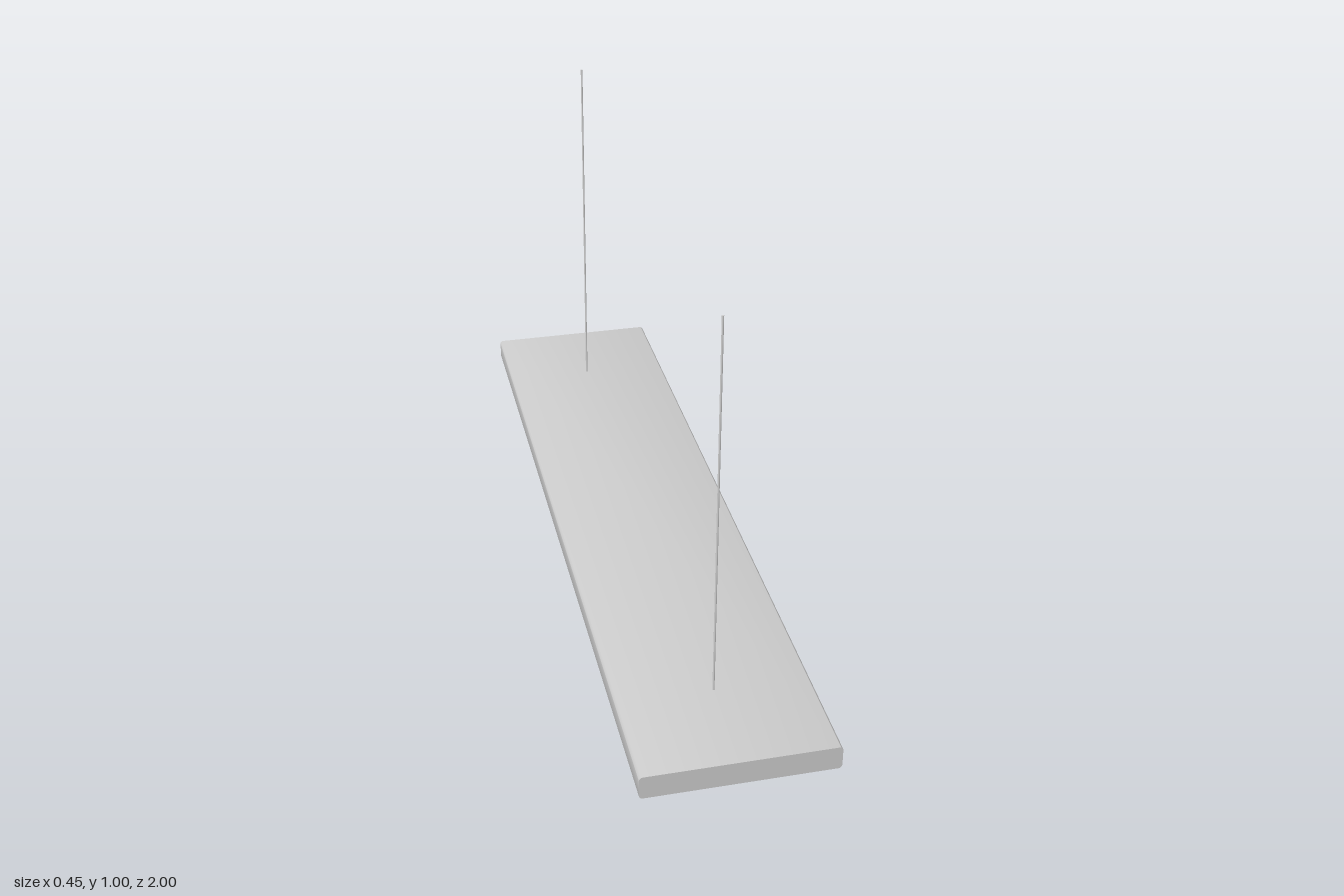
import * as THREE from 'three';
import { toCreasedNormals } from 'three/addons/utils/BufferGeometryUtils.js';

const WIDTH = 0.45, THICK = 0.058, LENGTH = 2, CORNER = 0.009;
const CABLE_Z = 0.755, CABLE_RADIUS = 0.0025, TOP = 1;

// Rectangle with rounded corners, standing on y = 0
function roundedRect(w, h, r) {
  const s = new THREE.Shape();
  s.absarc(w / 2 - r, r, r, -Math.PI / 2, 0);
  s.absarc(w / 2 - r, h - r, r, 0, Math.PI / 2);
  s.absarc(-w / 2 + r, h - r, r, Math.PI / 2, Math.PI);
  s.absarc(-w / 2 + r, r, r, Math.PI, Math.PI * 1.5);
  s.closePath();
  return s;
}

export function createModel() {
  const group = new THREE.Group();
  group.name = 'pendantLamp';
  const material = new THREE.MeshStandardMaterial({ color: 0xcccccc });

  // Long flat lamp body with softened long edges and flat ends
  const bodyGeometry = new THREE.ExtrudeGeometry(roundedRect(WIDTH, THICK, CORNER), {
    depth: LENGTH, bevelEnabled: false, curveSegments: 6,
  });
  bodyGeometry.translate(0, 0, -LENGTH / 2);
  const body = new THREE.Mesh(toCreasedNormals(bodyGeometry, 0.6), material);
  body.name = 'lampBody';
  group.add(body);

  // Two thin suspension cables
  const cableLength = TOP - THICK;
  const cableGeometry = new THREE.CylinderGeometry(CABLE_RADIUS, CABLE_RADIUS, cableLength, 16);
  for (const side of [1, -1]) {
    const cable = new THREE.Mesh(cableGeometry, material);
    cable.name = side > 0 ? 'frontCable' : 'backCable';
    cable.position.set(0, THICK + cableLength / 2, side * CABLE_Z);
    group.add(cable);
  }

  return group;
}
